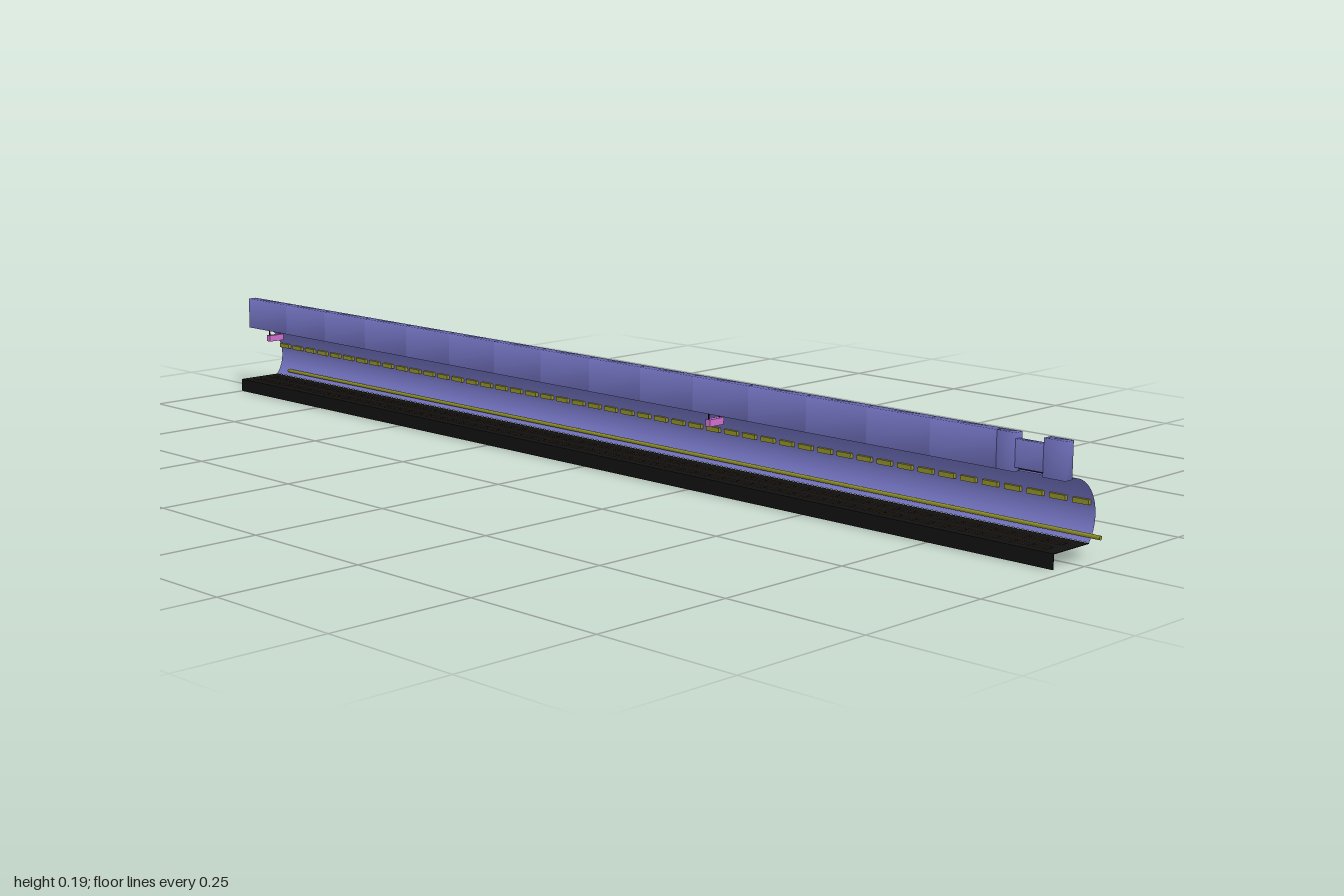
import * as THREE from 'three';
import { mergeVertices } from 'three/addons/utils/BufferGeometryUtils.js';

const mat = (color) => new THREE.MeshStandardMaterial({ color, side: THREE.DoubleSide });
const BLUE = mat(0x7777c8), BLACK = mat(0x111111), YELLOW = mat(0x8c8c28);
const PINK = mat(0xd070d0), BROWN = mat(0x5a4028), SEAM = mat(0x38386a);

const COUNT = 16, X0 = -1, X1 = 0.98, STEP = (X1 - X0) / COUNT;
const VAULT = { y: 0.065, z: 0.012, r: 0.065 };

export function createModel() {
  const root = new THREE.Group();

  const add = (name, geometry, material, x, y, z) => {
    const mesh = new THREE.Mesh(geometry, material);
    mesh.name = name;
    mesh.position.set(x, y, z);
    root.add(mesh);
    return mesh;
  };
  // Box given by its x, y and z ranges
  const box = (name, material, [xa, xb], [ya, yb], [za, zb], smooth = false) => {
    let g = new THREE.BoxGeometry(xb - xa, yb - ya, zb - za);
    if (smooth) {
      g.deleteAttribute('normal');
      g.deleteAttribute('uv');
      g = mergeVertices(g);
      g.computeVertexNormals();
    }
    return add(name, g, material, (xa + xb) / 2, (ya + yb) / 2, (za + zb) / 2);
  };
  // Open arc shell running along x
  const arc = (name, material, xa, xb, r) => {
    const start = THREE.MathUtils.degToRad(83), sweep = THREE.MathUtils.degToRad(135);
    const g = new THREE.CylinderGeometry(r, r, xb - xa, 28, 1, true, start, sweep);
    g.rotateZ(Math.PI / 2);
    return add(name, g, material, (xa + xb) / 2, VAULT.y, VAULT.z);
  };

  // Curved wall and upper fascia, one panel per bay
  for (let i = 0; i < COUNT; i++) {
    const xa = X0 + i * STEP, xb = xa + STEP;
    arc('vaultPanel', BLUE, xa, xb, VAULT.r);
    if (i > 0) arc('vaultSeam', SEAM, xa - 0.001, xa + 0.001, VAULT.r + 0.0003);
    const end = i === COUNT - 1 ? 0.89 : xb - 0.001;
    box('fasciaPanel', BLUE, [xa, end], [0.128, 0.187], [0.01, 0.027], true);
  }

  // Narrow neck and end panel of the fascia
  box('fasciaNeck', BLUE, [0.89, 0.94], [0.135, 0.178], [0.017, 0.027], true);
  box('neckBracket', BLACK, [0.89, 0.94], [0.131, 0.135], [0.005, 0.017]);
  box('fasciaEndPanel', BLUE, [0.94, X1], [0.128, 0.187], [0.01, 0.027], true);

  // Floor deck with a downturned front lip
  box('floorDeck', BLACK, [X0, X1], [0.0235, 0.0245], [-0.039, 0.05]);
  box('frontLip', BLACK, [X0, X1], [0, 0.0245], [0.049, 0.05]);

  // Two tracks of thin rails with ties
  for (const z of [0.026, -0.009]) {
    for (const side of [-1, 1]) {
      const rail = z + side * 0.0075;
      box('rail', BROWN, [X0 + 0.02, X1 - 0.02], [0.0245, 0.0256], [rail - 0.0007, rail + 0.0007]);
    }
    for (let x = X0 + 0.03; x < X1 - 0.02; x += 0.031) {
      box('tie', BLACK, [x, x + 0.006], [0.0243, 0.0249], [z - 0.009, z + 0.009]);
    }
  }

  // Handrail pipe low on the wall
  const pipe = new THREE.CylinderGeometry(0.0035, 0.0035, 1.96, 12).rotateZ(Math.PI / 2);
  add('pipe', pipe, YELLOW, 0.02, 0.036, -0.039);

  // Dashed row of lamps on the wall
  for (let i = 0; i < COUNT * 3; i++) {
    const x = X0 + (i + 0.15) * STEP / 3;
    box('wallLamp', YELLOW, [x, x + STEP * 0.23], [0.08, 0.088], [-0.05, -0.0435]);
  }

  // Hanging signal boxes under the vault
  for (const x of [-0.94, 0.27]) {
    box('signalBox', PINK, [x - 0.005, x + 0.005], [0.106, 0.118], [-0.009, 0.025]);
    for (const z of [-0.004, 0.022]) {
      box('signalHanger', BLACK, [x - 0.001, x + 0.001], [0.118, 0.13], [z - 0.001, z + 0.001]);
    }
  }
  return root;
}
